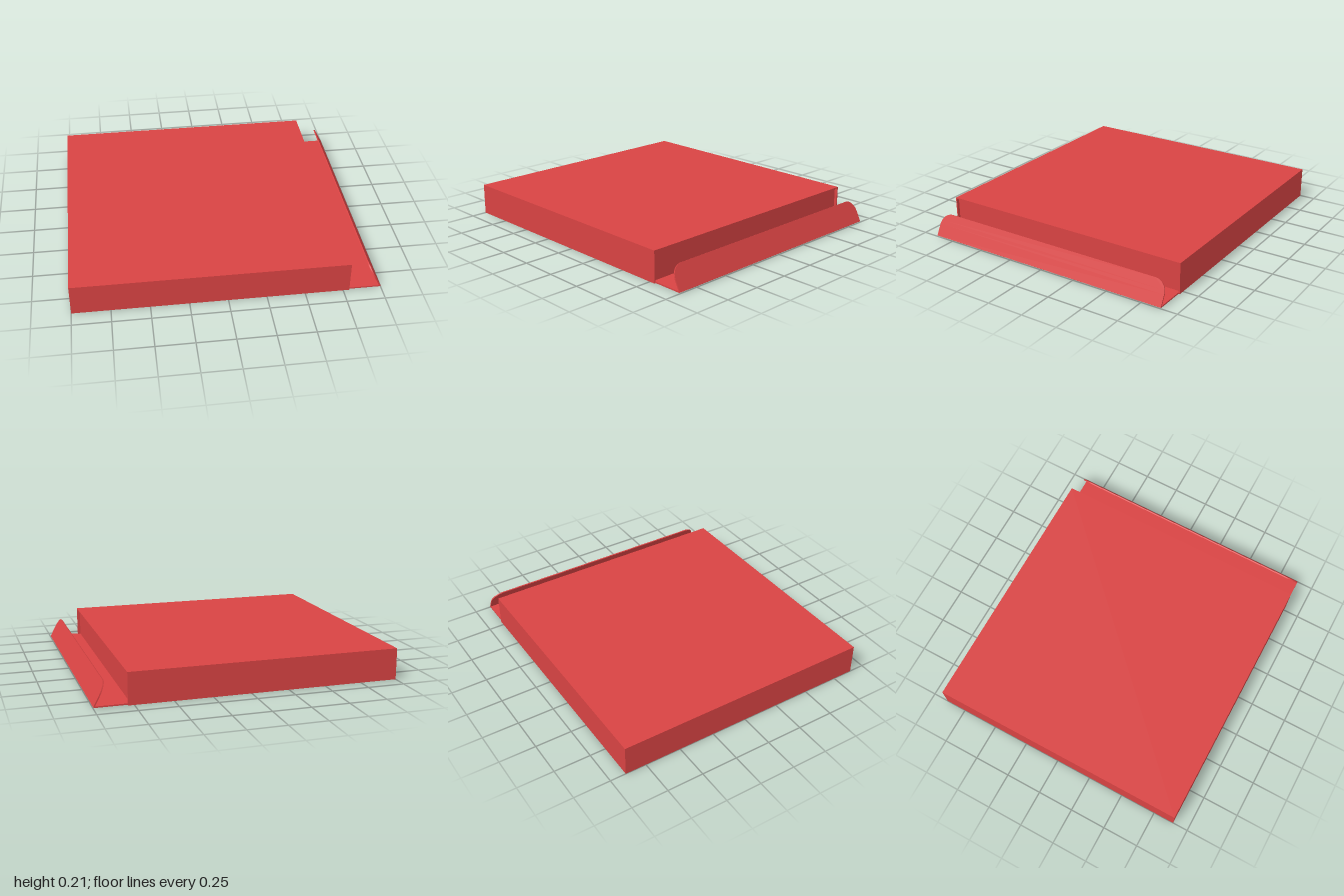
import * as THREE from 'three';

export function createModel() {
  const model = new THREE.Group();
  const material = new THREE.MeshStandardMaterial({ color: 0xd84343, side: THREE.DoubleSide });
  const left = -1, mouth = 0.79, height = 0.21, halfDepth = 0.893, t = 0.008;

  // Box between two corners
  function panel(name, x0, x1, y0, y1, z0, z1) {
    const mesh = new THREE.Mesh(new THREE.BoxGeometry(x1 - x0, y1 - y0, z1 - z0), material);
    mesh.name = name;
    mesh.position.set((x0 + x1) / 2, (y0 + y1) / 2, (z0 + z1) / 2);
    model.add(mesh);
  }

  // Carton shell
  panel('bottomPanel', left, mouth, 0, t, -halfDepth, halfDepth);
  panel('topPanel', left, mouth, height - t, height, -halfDepth, halfDepth);
  panel('frontWall', left, mouth, t, height - t, halfDepth - t, halfDepth);
  panel('backWall', left, mouth, t, height - t, -halfDepth, -halfDepth + t);
  panel('closedEnd', left, left + t, t, height - t, -halfDepth + t, halfDepth - t);

  // End panel set slightly inside the mouth
  panel('insetEnd', mouth - 0.02 - t, mouth - 0.02, t, height - t, -halfDepth + t, halfDepth - t);

  // Lid laid flat, level with the bottom
  const lidHalf = 0.887;
  panel('openLid', mouth, 0.995, 0.003, 0.012, -lidHalf, lidHalf);

  // Tuck flap with rounded outer corners, folded up and inward
  const length = 0.163, r = 0.085;
  const shape = new THREE.Shape();
  shape.moveTo(-lidHalf, 0);
  shape.lineTo(lidHalf, 0);
  shape.lineTo(lidHalf, length - r);
  shape.absarc(lidHalf - r, length - r, r, 0, Math.PI / 2, false);
  shape.lineTo(-lidHalf + r, length);
  shape.absarc(-lidHalf + r, length - r, r, Math.PI / 2, Math.PI, false);
  shape.closePath();
  const geometry = new THREE.ExtrudeGeometry(shape, { depth: t, bevelEnabled: false, curveSegments: 10 });
  geometry.rotateY(Math.PI / 2).translate(-t, 0, 0).rotateZ(0.475);
  const flap = new THREE.Mesh(geometry, material);
  flap.name = 'tuckFlap';
  flap.position.set(1, 0.007, 0);
  model.add(flap);

  return model;
}
